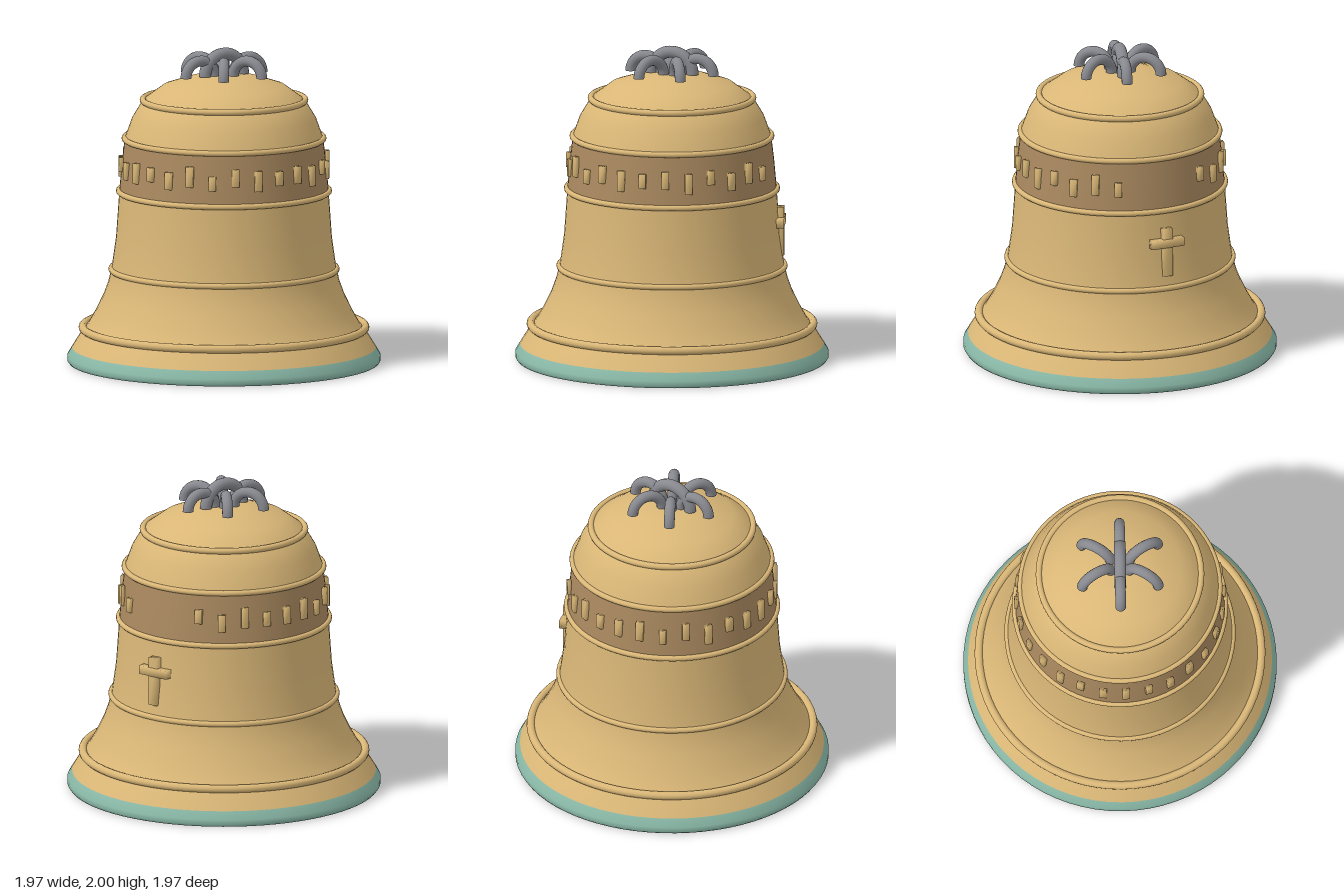
import * as THREE from 'three';
import { mergeVertices } from 'three/addons/utils/BufferGeometryUtils.js';

const mat = (name, color) => {
  const m = new THREE.MeshStandardMaterial({ color });
  m.name = name;
  return m;
};

// Box with shared corners, so that it shades softly like cast relief
const softBox = (w, h, d) => {
  const box = new THREE.BoxGeometry(w, h, d);
  box.deleteAttribute('normal');
  box.deleteAttribute('uv');
  const soft = mergeVertices(box);
  soft.computeVertexNormals();
  return soft;
};

export function createModel() {
  const bell = new THREE.Group();
  bell.name = 'bell';
  const bronze = mat('bronze', 0xdab777);
  const darkBronze = mat('darkBronze', 0xab8a60);
  const patina = mat('patina', 0x89b8a7);
  const iron = mat('iron', 0x88898f);

  const add = (name, geometry, material, parent = bell) => {
    const mesh = new THREE.Mesh(geometry, material);
    mesh.name = name;
    parent.add(mesh);
    return mesh;
  };
  const lathe = (name, points, material) =>
    add(name, new THREE.LatheGeometry(points.map(([r, y]) => new THREE.Vector2(r, y)), 72), material);

  // Shell: rim, flared body, dark inscription band and dome
  lathe('rim', [[0.895, 0.03], [0.908, 0.005], [0.925, 0], [0.975, 0], [0.985, 0.015], [0.985, 0.045], [0.955, 0.095]], patina);
  lathe('body', [[0.955, 0.095], [0.89, 0.2], [0.85, 0.25], [0.805, 0.33], [0.757, 0.43], [0.728, 0.51],
    [0.706, 0.6], [0.678, 0.8], [0.664, 1.0], [0.658, 1.09]], bronze);
  lathe('inscriptionBand', [[0.658, 1.09], [0.643, 1.26], [0.624, 1.425]], darkBronze);
  lathe('dome', [[0.624, 1.425], [0.579, 1.55], [0.51, 1.665], [0.385, 1.757], [0.22, 1.811], [0.12, 1.826], [0, 1.83]], bronze);

  // Hollow inside, running from the crown down so that it faces inwards
  lathe('interior', [[0, 1.73], [0.2, 1.715], [0.34, 1.67], [0.44, 1.59], [0.505, 1.5], [0.545, 1.4], [0.582, 1.09],
    [0.603, 0.8], [0.631, 0.6], [0.682, 0.43], [0.775, 0.25], [0.895, 0.03]], darkBronze);

  // Raised ribs: [radius, height, thickness]
  [[0.51, 1.668, 0.02], [0.626, 1.425, 0.018], [0.661, 1.09, 0.018], [0.709, 0.593, 0.018], [0.888, 0.222, 0.026]]
    .forEach(([r, y, t], i) => {
      const rib = add(`rib${i + 1}`, new THREE.TorusGeometry(r, t, 12, 72), bronze);
      rib.rotation.x = Math.PI / 2;
      rib.position.y = y;
    });

  // Relief tablets around the band, leaving a gap above the cross
  const tablets = new THREE.Group();
  tablets.name = 'tablets';
  bell.add(tablets);
  for (let k = -18; k <= 6; k++) {
    const angle = THREE.MathUtils.degToRad(2.57 + k * 360 / 28);
    const height = 0.09 + 0.02 * ((k + 18) % 3);
    const tablet = add('tablet', softBox(0.046, height, 0.026), bronze, tablets);
    tablet.position.set(0.652 * Math.sin(angle), 1.255 + 0.02 * Math.sin(2.7 * k), 0.652 * Math.cos(angle));
    tablet.rotation.y = angle;
  }

  // Relief cross on the side
  const cross = new THREE.Group();
  cross.name = 'cross';
  cross.rotation.y = THREE.MathUtils.degToRad(106);
  bell.add(cross);
  add('crossUpright', softBox(0.066, 0.31, 0.055), bronze, cross).position.set(0, 0.825, 0.68);
  add('crossArm', softBox(0.22, 0.055, 0.055), bronze, cross).position.set(0, 0.886, 0.683);

  // Crown of six loops round a taller middle loop
  const crown = new THREE.Group();
  crown.name = 'crown';
  crown.position.y = 1.825;
  bell.add(crown);
  const loop = (name, radius, thickness, parent) => {
    add(name, new THREE.TorusGeometry(radius, thickness, 14, 28, Math.PI), iron, parent);
    for (const s of [-1, 1]) {
      const cap = add('loopEnd', new THREE.CircleGeometry(thickness, 14), iron, parent);
      cap.rotation.x = Math.PI / 2;
      cap.position.x = s * radius;
    }
  };
  for (let i = 0; i < 6; i++) {
    const spoke = new THREE.Group();
    spoke.name = 'crownSpoke';
    spoke.rotation.y = i * Math.PI / 3;
    const arm = new THREE.Group();
    arm.name = 'crownArm';
    arm.position.x = 0.172;
    loop('crownLoop', 0.103, 0.034, arm);
    spoke.add(arm);
    crown.add(spoke);
  }
  loop('middleLoop', 0.137, 0.038, crown);

  // Clapper
  add('clapperRod', new THREE.CylinderGeometry(0.035, 0.035, 1.24, 16), iron).position.y = 1.11;
  add('clapperBall', new THREE.SphereGeometry(0.142, 32, 20), iron).position.y = 0.485;

  return bell;
}
